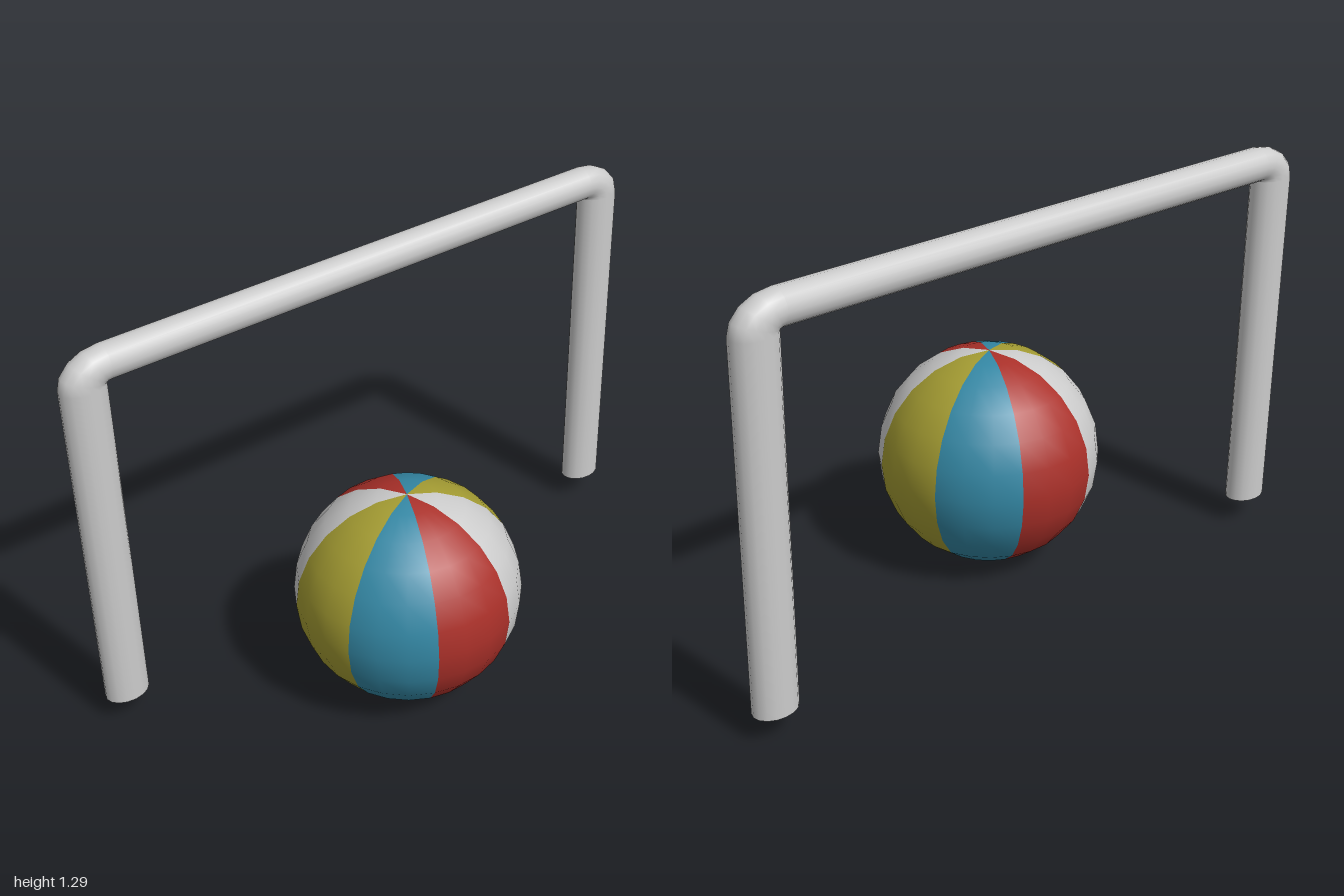
import * as THREE from 'three';

const RADIUS = 0.0525;   // pipe radius
const STRETCH = 1.33;    // the frame is wider across x than in depth
const PIVOT_X = 0.86 / STRETCH;
const PIVOT_Y = 1.19;
const FOOT_Y = 0.09;

// Goal frame: open pipe with tight elbows at the two top corners
function createGoal() {
  const goal = new THREE.Group();
  goal.name = 'goalFrame';
  const material = new THREE.MeshStandardMaterial({ color: 0xcccccc, side: THREE.DoubleSide });
  const add = (name, geometry, x, y, turn = 0) => {
    const mesh = new THREE.Mesh(geometry, material);
    mesh.name = name;
    mesh.position.set(x, y, 0);
    mesh.rotation.z = turn;
    goal.add(mesh);
  };
  const pipe = (length) => new THREE.CylinderGeometry(RADIUS, RADIUS, length, 16, 1, true);

  for (const [side, sign] of [['left', 1], ['right', -1]]) {
    add(side + 'Post', pipe(PIVOT_Y - FOOT_Y), sign * (PIVOT_X + RADIUS), (PIVOT_Y + FOOT_Y) / 2);
    add(side + 'Corner', new THREE.TorusGeometry(RADIUS, RADIUS, 16, 4, Math.PI / 2),
      sign * PIVOT_X, PIVOT_Y, sign > 0 ? 0 : Math.PI / 2);
  }
  add('crossbar', pipe(2 * PIVOT_X), 0, PIVOT_Y + RADIUS, Math.PI / 2);

  goal.scale.x = STRETCH;
  goal.position.z = -0.34;
  return goal;
}

// Beach ball: eight coloured gores, the first one centred on +z
function createBall() {
  const ball = new THREE.Group();
  ball.name = 'ball';
  const [red, white, yellow, blue] = [0xaa3029, 0xcccccc, 0xa59d33, 0x3488a5]
    .map((color) => new THREE.MeshStandardMaterial({ color }));
  const panels = [red, white, yellow, blue, red, white, yellow, blue];
  const step = Math.PI / 4;
  // this arc of the sphere is centred on +z
  const gore = new THREE.SphereGeometry(0.347, 2, 12, Math.PI / 2 - step / 2, step);
  panels.forEach((material, i) => {
    const mesh = new THREE.Mesh(gore, material);
    mesh.name = 'ballPanel' + (i + 1);
    mesh.rotation.y = i * step;
    ball.add(mesh);
  });
  ball.position.set(-0.145, 0.352, 0.05);
  return ball;
}

export function createModel() {
  const model = new THREE.Group();
  model.name = 'goalWithBall';
  model.add(createGoal(), createBall());
  return model;
}
